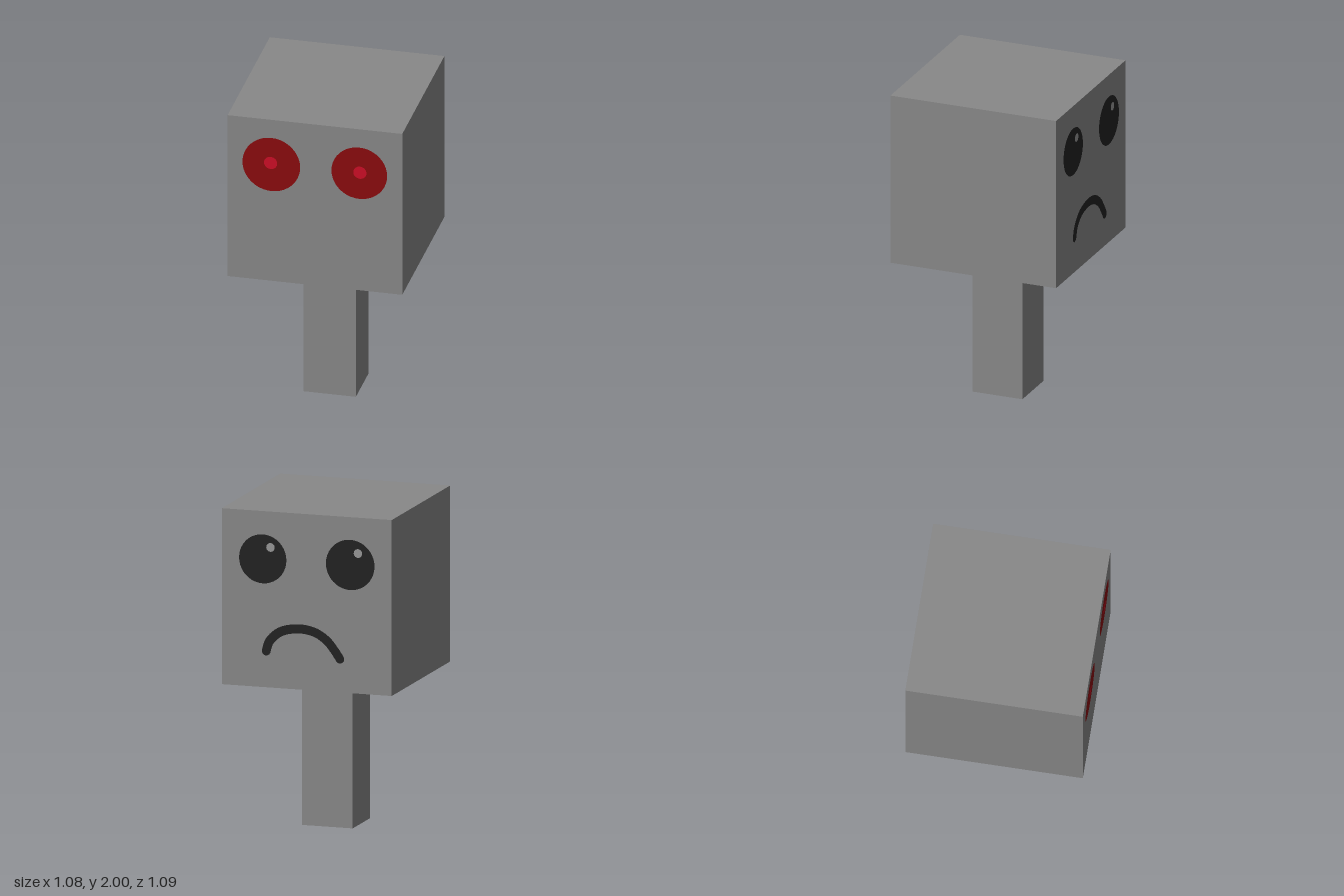
import * as THREE from 'three';

const HEAD = 1.084, NECK = 0.325, NECK_TOP = 0.916;

const mat = (name, color) => {
  const m = new THREE.MeshStandardMaterial({ color });
  m.name = name;
  return m;
};

export function createModel() {
  const grey = mat('stone grey', 0x888888);
  const darkRed = mat('dark red', 0x8a0c0e);
  const brightRed = mat('bright red', 0xcc0e26);
  const black = mat('soft black', 0x222222);
  const glint = mat('glint grey', 0x969696);

  const model = new THREE.Group();
  model.name = 'twoFacedBlockHead';

  function add(parent, name, geometry, material, x, y, z) {
    const mesh = new THREE.Mesh(geometry, material);
    mesh.name = name;
    mesh.position.set(x, y, z);
    parent.add(mesh);
  }
  const disc = (parent, name, r, material, x, y, z) =>
    add(parent, name, new THREE.CircleGeometry(r, 40), material, x, y, z);

  // Solid blocks
  add(model, 'head', new THREE.BoxGeometry(HEAD, HEAD, HEAD), grey, 0, 2 - HEAD / 2, 0);
  add(model, 'neck', new THREE.BoxGeometry(NECK, NECK_TOP, NECK), grey, 0, NECK_TOP / 2, 0);

  // Each face is a set of flat painted pieces just above the head's surface
  const layer = (n) => HEAD / 2 + 0.002 * n;

  // Front face: red eyes, slightly uneven
  const front = new THREE.Group();
  front.name = 'angryFace';
  model.add(front);
  disc(front, 'rightRedEye', 0.179, darkRed, -0.27, 1.7, layer(1));
  disc(front, 'leftRedEye', 0.173, darkRed, 0.276, 1.705, layer(1));
  disc(front, 'rightRedPupil', 0.041, brightRed, -0.274, 1.711, layer(2));
  disc(front, 'leftRedPupil', 0.041, brightRed, 0.28, 1.71, layer(2));

  // Back face: black eyes with glints and a frowning mouth
  const back = new THREE.Group();
  back.name = 'sadFace';
  back.rotation.y = Math.PI;
  model.add(back);
  for (const [side, x, r] of [['left', -0.28, 0.151], ['right', 0.278, 0.155]]) {
    disc(back, side + 'BlackEye', r, black, x, 1.706, layer(1));
    disc(back, side + 'EyeGlint', 0.027, glint, x + 0.05, 1.78, layer(2));
  }

  // Mouth: one constant-width stroke with round ends
  const path = new THREE.SplineCurve([
    [-0.258, 1.14], [-0.238, 1.2], [-0.187, 1.252], [-0.123, 1.28], [-0.028, 1.29],
    [0.06, 1.272], [0.131, 1.227], [0.179, 1.17], [0.212, 1.122],
  ].map(([x, y]) => new THREE.Vector2(x, y)));
  const HALF = 0.028, STEPS = 32, CAP = 8;
  const outline = [];
  const edgePoint = (t, turn) => {
    const p = path.getPoint(t), d = path.getTangent(t);
    const a = Math.atan2(d.y, d.x) + turn;
    outline.push(new THREE.Vector2(p.x + HALF * Math.cos(a), p.y + HALF * Math.sin(a)));
  };
  for (let i = 0; i <= STEPS; i++) edgePoint(i / STEPS, -Math.PI / 2);
  for (let i = 1; i < CAP; i++) edgePoint(1, -Math.PI / 2 + (Math.PI * i) / CAP);
  for (let i = STEPS; i >= 0; i--) edgePoint(i / STEPS, Math.PI / 2);
  for (let i = 1; i < CAP; i++) edgePoint(0, Math.PI / 2 + (Math.PI * i) / CAP);
  add(back, 'frownMouth', new THREE.ShapeGeometry(new THREE.Shape(outline)), black, 0, 0, layer(1));

  return model;
}
